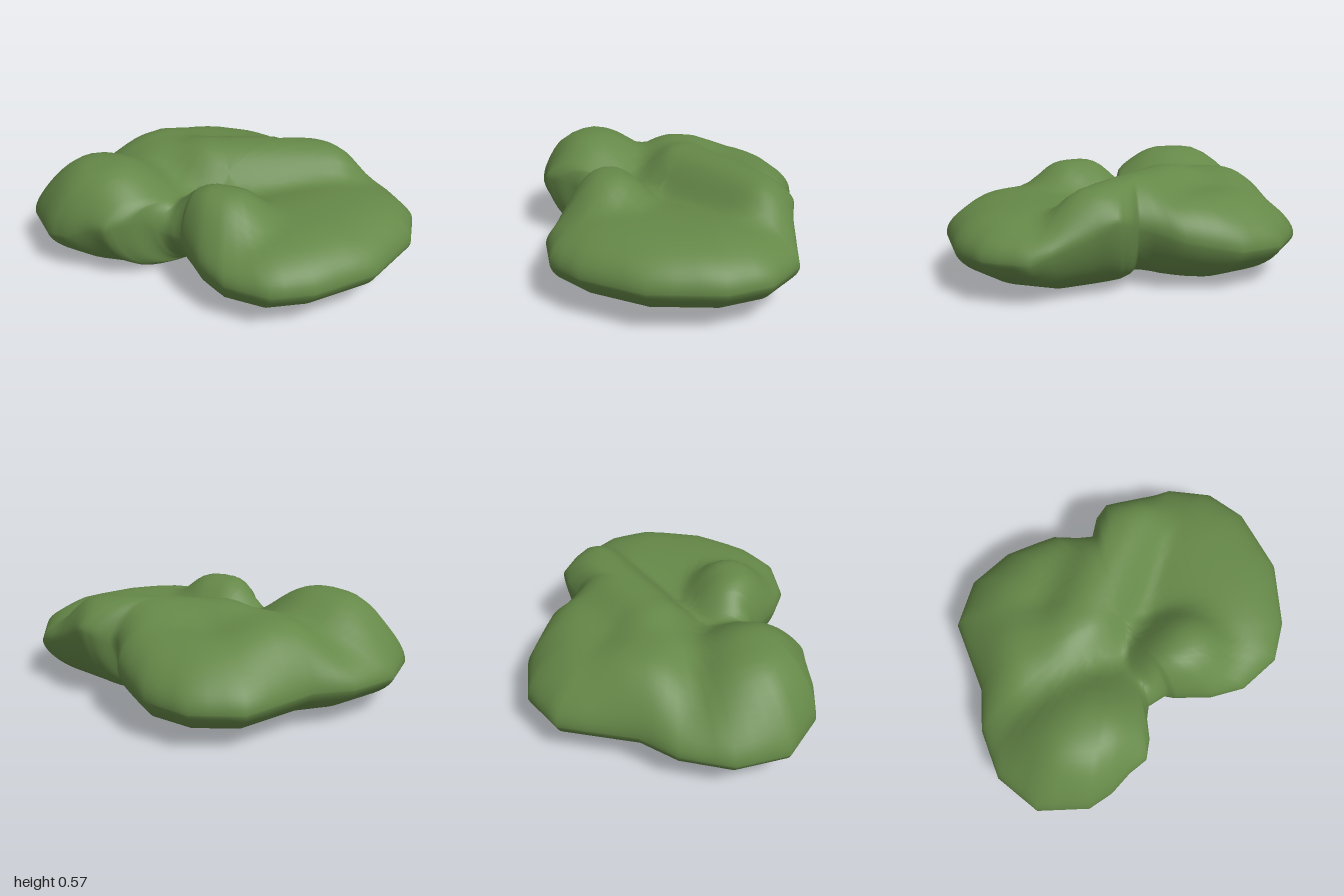
import * as THREE from 'three';

// Outline of the bush at its widest level, as [x, z, height of the rim]
const OUTLINE = [
  [1, -0.22, 0.23], [0.97, 0.15, 0.23], [0.8, 0.46, 0.23], [0.64, 0.61, 0.23], [0.4, 0.65, 0.23],
  [0.22, 0.6, 0.25], [0.04, 0.5, 0.28], [0, 0.46, 0.27], [-0.11, 0.46, 0.27], [-0.17, 0.53, 0.34],
  [-0.22, 0.63, 0.36], [-0.29, 0.71, 0.34], [-0.4, 0.72, 0.32], [-0.53, 0.75, 0.25],
  [-0.67, 0.75, 0.22], [-0.91, 0.61, 0.21], [-1, 0.35, 0.21], [-0.95, 0.08, 0.21],
  [-0.84, -0.12, 0.22], [-0.77, -0.53, 0.21], [-0.57, -0.71, 0.21], [-0.32, -0.755, 0.22],
  [-0.04, -0.68, 0.28], [0.14, -0.53, 0.34], [0.22, -0.61, 0.38], [0.31, -0.645, 0.4],
  [0.44, -0.62, 0.34], [0.73, -0.6, 0.23], [0.92, -0.44, 0.23],
];

// Rounded clumps: a spine from (ax, az) to (bx, bz), a radius and a top height
const CLUMPS = [
  { ax: 0.68, az: -0.12, bx: 0.58, bz: 0.16, r: 0.47, h: 0.425 },   // long side clump
  { ax: 0.35, az: -0.49, bx: -0.2, bz: -0.1, r: 0.24, h: 0.56 },    // diagonal ridge
  { ax: -0.1, az: -0.46, bx: -0.42, bz: -0.34, r: 0.34, h: 0.47 },  // back clump
  { ax: -0.55, az: -0.1, bx: -0.45, bz: -0.06, r: 0.3, h: 0.53 },   // inner clump
  { ax: -0.56, az: 0.46, bx: -0.48, bz: 0.44, r: 0.34, h: 0.58 },   // front corner clump
  { ax: 0.14, az: 0.34, bx: 0.22, bz: 0.32, r: 0.23, h: 0.55 },     // front middle clump
];
const FLOOR = 0.32;

// Height of the clumped top before it is rounded off towards the rim
function clumpHeight(x, z) {
  let sum = 0;
  for (const c of CLUMPS) {
    const dx = c.bx - c.ax, dz = c.bz - c.az;
    const k = THREE.MathUtils.clamp(((x - c.ax) * dx + (z - c.az) * dz) / (dx * dx + dz * dz), 0, 1);
    const d = Math.hypot(x - c.ax - k * dx, z - c.az - k * dz) / c.r;
    sum += ((c.h - FLOOR) * Math.exp(-0.9 * d ** 2.6)) ** 5;
  }
  return FLOOR + sum ** (1 / 5);
}

function topY(x, z, t, rim) {
  return rim + Math.max(clumpHeight(x, z) - rim, 0) * Math.sqrt(1 - t ** 8);
}

// Shallow rounded underside with a slight groove between its two halves
function bottomY(x, z, t, rim) {
  const groove = 0.035 * Math.exp(-(((x - 0.05) / 0.15) ** 2));
  return rim - (rim - 0.002 - groove) * (1 - t ** 4) ** 0.65;
}

function foliageGeometry() {
  const split = 3, rings = 22;
  const edge = [];
  OUTLINE.forEach((p, i) => {
    const q = OUTLINE[(i + 1) % OUTLINE.length];
    for (let s = 0; s < split; s++) edge.push(p.map((v, c) => v + (q[c] - v) * s / split));
  });
  const n = edge.length, pos = [], idx = [];
  // Rings run outwards over the top, then back inwards underneath
  for (let j = 0; j <= 2 * rings; j++) {
    const height = j <= rings ? topY : bottomY;
    const t = Math.sin((Math.PI / 2) * (j <= rings ? j : 2 * rings - j) / rings);
    for (const [ex, ez, rim] of edge) {
      // The rim level only varies close to the edge
      const level = THREE.MathUtils.lerp(0.22, rim, t * t);
      pos.push(ex * t, height(ex * t, ez * t, t, level), ez * t);
    }
  }
  for (let j = 0; j < 2 * rings; j++) {
    for (let i = 0; i < n; i++) {
      const a = j * n + i, b = j * n + (i + 1) % n;
      if (j > 0) idx.push(a, b, a + n);
      if (j < 2 * rings - 1) idx.push(b, b + n, a + n);
    }
  }
  const g = new THREE.BufferGeometry();
  g.setAttribute('position', new THREE.Float32BufferAttribute(pos, 3));
  g.setIndex(idx);
  g.computeVertexNormals();
  return g;
}

export function createModel() {
  const group = new THREE.Group();
  group.name = 'bush';
  const leafGreen = new THREE.MeshStandardMaterial({ color: 0x658848 });
  leafGreen.name = 'leafGreen';
  const foliage = new THREE.Mesh(foliageGeometry(), leafGreen);
  foliage.name = 'foliage';
  group.add(foliage);
  return group;
}
